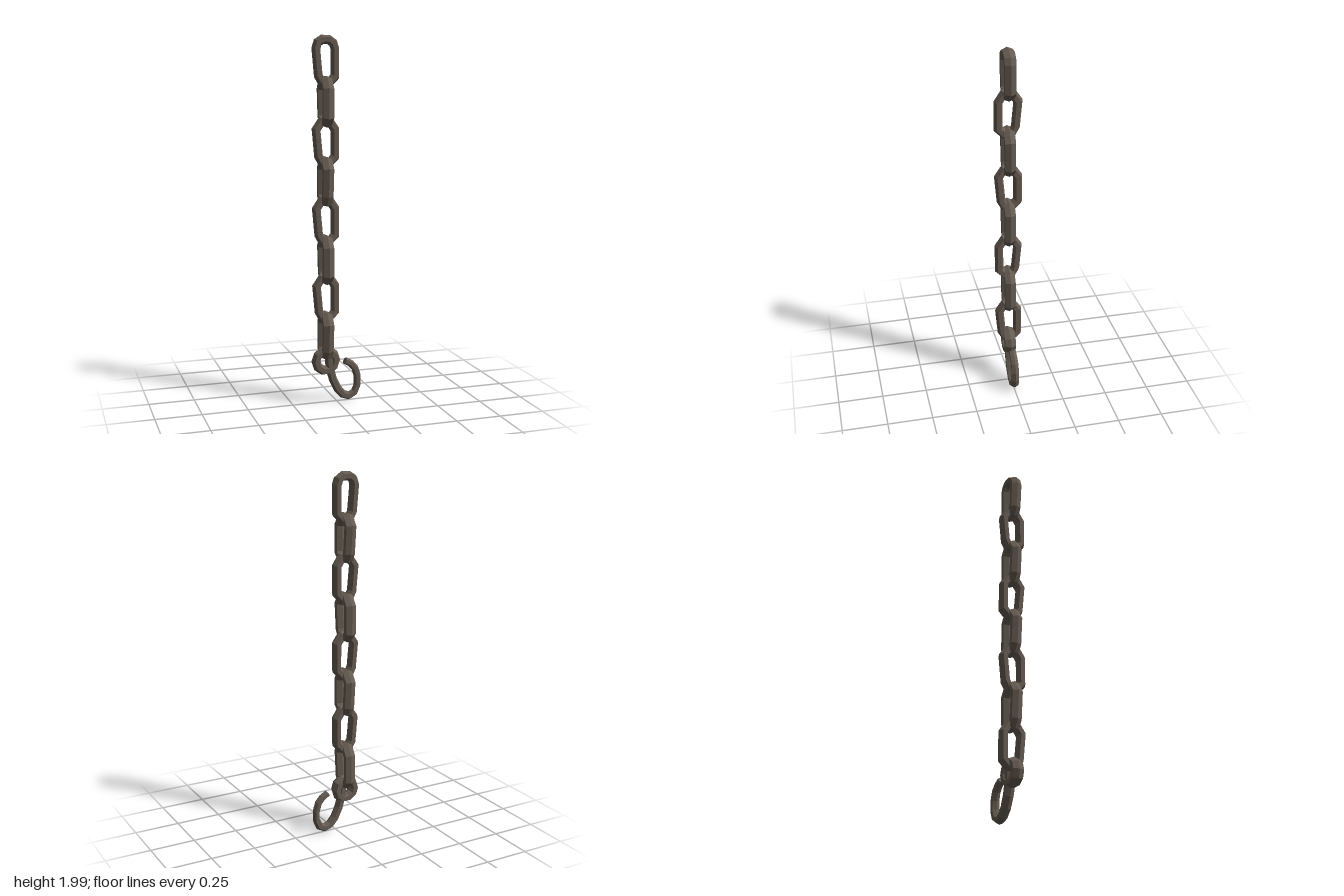
import * as THREE from 'three';

const iron = new THREE.MeshStandardMaterial({ color: 0x665c52, flatShading: true });
iron.name = 'dark iron';

// Sweeps a hexagonal bar along a flat path in XY; ridges lie in the plane of the path.
// radius(t) is the in-plane half width, depth(t) the half thickness in z.
function hexBar(points, closed, radius, depth) {
  const n = points.length, sides = 6;
  const pts = points.map(([x, y]) => new THREE.Vector2(x, y));
  const pos = [], index = [];
  pts.forEach((p, i) => {
    const prev = closed ? pts[(i + n - 1) % n] : pts[Math.max(i - 1, 0)];
    const next = closed ? pts[(i + 1) % n] : pts[Math.min(i + 1, n - 1)];
    const a = p.clone().sub(prev).normalize();
    const b = next.clone().sub(p).normalize();
    const t = a.clone().add(b).normalize();
    const miter = 1 / Math.max(0.75, t.dot(b.length() ? b : a));
    const s = i / (n - 1);
    for (let j = 0; j < sides; j++) {
      const ang = (j / sides) * Math.PI * 2;
      const u = Math.cos(ang) * radius(s) * miter;
      const w = (Math.sin(ang) / Math.sin(Math.PI / 3)) * depth(s);
      pos.push(p.x - t.y * u, p.y + t.x * u, w);
    }
  });
  for (let i = 0; i < (closed ? n : n - 1); i++) {
    for (let j = 0; j < sides; j++) {
      const k = (j + 1) % sides, m = (i + 1) % n;
      const a = i * sides + j, b = i * sides + k, c = m * sides + k, d = m * sides + j;
      index.push(a, b, d, b, c, d);
    }
  }
  if (!closed) {
    const e = (n - 1) * sides;
    for (let j = 1; j < sides - 1; j++) index.push(0, j + 1, j, e, e + j, e + j + 1);
  }
  const g = new THREE.BufferGeometry();
  g.setAttribute('position', new THREE.Float32BufferAttribute(pos, 3));
  g.setIndex(index);
  const flat = g.toNonIndexed();
  flat.computeVertexNormals();
  return flat;
}

export function createModel() {
  const model = new THREE.Group();
  model.name = 'hangingChain';
  const cx = -0.062;

  function add(name, geometry, x, y, turn = 0) {
    const mesh = new THREE.Mesh(geometry, iron);
    mesh.name = name;
    mesh.position.set(x, y, 0);
    mesh.rotation.y = turn;
    model.add(mesh);
  }

  // Hand-forged link: one leg leans in towards the bottom
  const lower = [[-0.052, 0.065], [-0.039, -0.075], [-0.021, -0.107], [0.021, -0.111], [0.052, -0.08]];
  const linkPath = [[0.052, 0.065], [0.022, 0.109], [-0.022, 0.109], ...lower];
  const topPath = [[0.052, 0.065], [0.042, 0.094], [0.018, 0.111], [-0.018, 0.111], [-0.042, 0.096], ...lower];
  const link = hexBar(linkPath, true, () => 0.024, () => 0.029);
  const topLink = hexBar(topPath, true, () => 0.024, () => 0.03);

  // Eight links, alternately facing front and side
  const step = 0.2115;
  for (let i = 0; i < 8; i++) {
    const turn = i % 2 === 0 ? 0 : (i % 4 === 1 ? -1 : 1) * Math.PI / 2;
    add('link' + (i + 1), i === 0 ? topLink : link, cx, 1.865 - i * step, turn);
  }

  // Small ring at the bottom of the chain
  const ringPath = [];
  for (let i = 0; i < 10; i++) {
    const a = (i / 10) * Math.PI * 2;
    ringPath.push([Math.cos(a) * 0.056, Math.sin(a) * 0.056]);
  }
  add('ring', hexBar(ringPath, true, () => 0.025, () => 0.031), cx, 0.243);

  // Open hook, tapering to its tip
  const hookPath = [
    [-0.045, 0.268], [-0.04, 0.2], [-0.022, 0.135], [0.005, 0.078], [0.036, 0.043], [0.07, 0.031],
    [0.102, 0.048], [0.12, 0.09], [0.12, 0.14], [0.106, 0.186], [0.082, 0.214], [0.048, 0.234],
  ];
  add('hook', hexBar(hookPath, false, (s) => 0.024 - 0.005 * s, (s) => 0.026 - 0.008 * s), 0, 0);

  return model;
}
